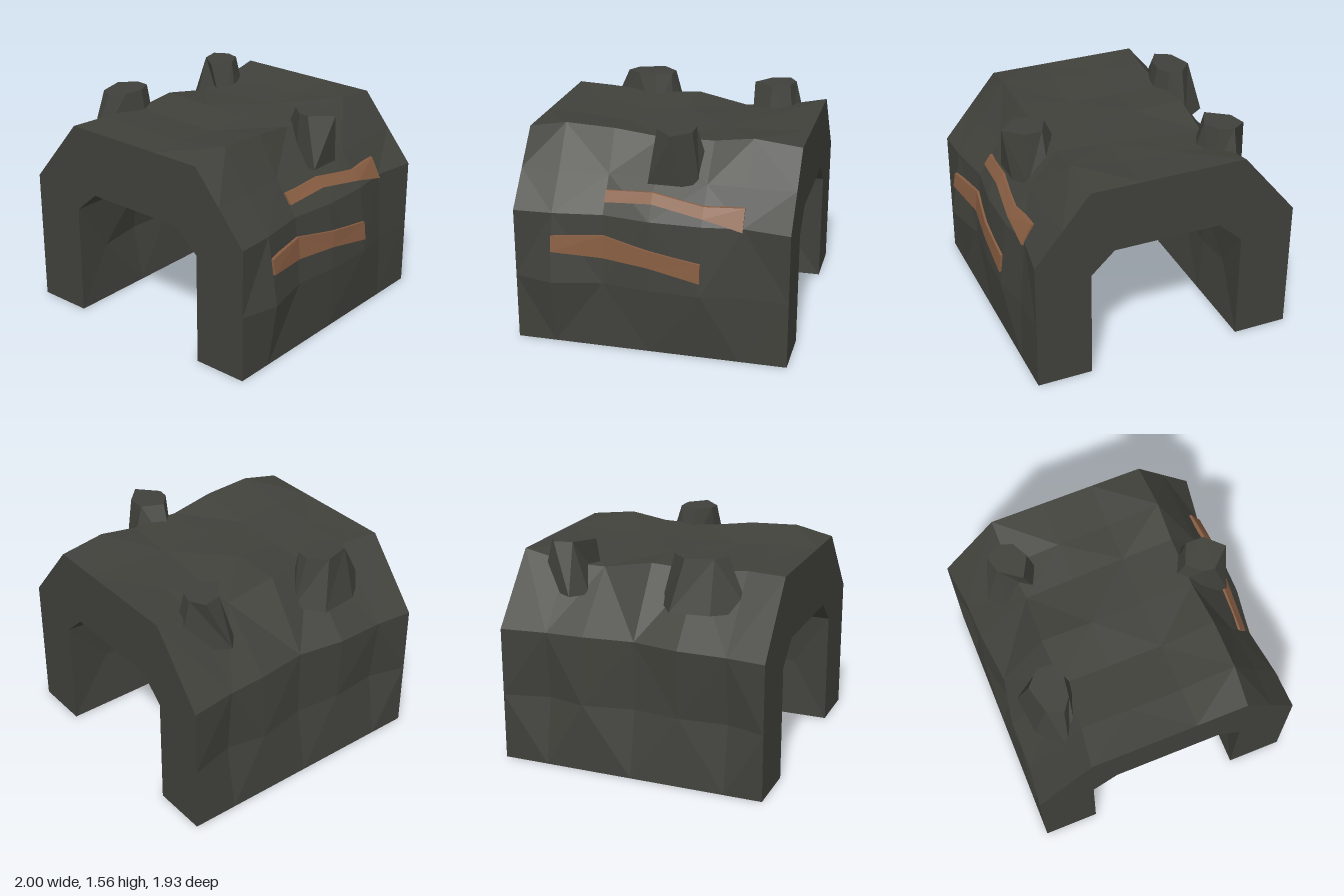
import * as THREE from 'three';

const stone = new THREE.MeshStandardMaterial({ color: 0x40413b, flatShading: true });
stone.name = 'dark stone';
const ore = new THREE.MeshStandardMaterial({ color: 0x865c41, flatShading: true });
ore.name = 'copper ore';

// Joins rings of points into a closed faceted solid. Each ring runs
// counter-clockwise as seen from the side of the first ring.
function loft(rings, project) {
  const pos = [];
  const tri = (a, b, c) => pos.push(...a, ...b, ...c);
  const n = rings[0].length;
  for (let r = 0; r < rings.length - 1; r++) {
    const a = rings[r], b = rings[r + 1];
    for (let i = 0; i < n; i++) {
      const j = (i + 1) % n;
      if ((i + r) % 2) {
        tri(a[i], b[i], b[j]);
        tri(a[i], b[j], a[j]);
      } else {
        tri(a[i], b[i], a[j]);
        tri(b[i], b[j], a[j]);
      }
    }
  }
  // End caps
  const first = rings[0], last = rings[rings.length - 1];
  const faces = ring => THREE.ShapeUtils.triangulateShape(ring.map(p => new THREE.Vector2(...project(p))), []);
  for (const [i, j, k] of faces(first)) tri(first[i], first[j], first[k]);
  for (const [i, j, k] of faces(last)) tri(last[i], last[k], last[j]);
  const g = new THREE.BufferGeometry();
  g.setAttribute('position', new THREE.Float32BufferAttribute(pos, 3));
  g.computeVertexNormals();
  return g;
}

// Tunnel stations from front to back, with the rough outline at each one
const stations = [0.965, 0.69, 0.34, 0.005, -0.36, -0.635, -0.965];
const rough = {
  rightMidX: [0.93, 1.0, 0.92, 0.96, 0.975, 0.92, 0.93],
  rightEaveX: [0.93, 0.92, 0.87, 0.92, 0.92, 0.88, 0.93],
  slopeX: [0.73, 0.74, 0.705, 0.73, 0.745, 0.735, 0.73],
  rightRidgeX: [0.53, 0.55, 0.55, 0.53, 0.53, 0.54, 0.53],
  rightRidgeY: [1.45, 1.505, 1.49, 1.445, 1.45, 1.49, 1.45],
  roofRightY: [1.45, 1.45, 1.42, 1.43, 1.43, 1.43, 1.45],
  roofLeftY: [1.45, 1.44, 1.41, 1.43, 1.4, 1.42, 1.45],
  leftRidgeX: [-0.6, -0.565, -0.57, -0.59, -0.57, -0.6, -0.6],
  leftRidgeY: [1.45, 1.45, 1.42, 1.44, 1.37, 1.38, 1.45],
  leftEaveX: [-1, -0.97, -0.97, -0.91, -0.95, -0.96, -1],
  leftMidX: [-1, -0.92, -0.95, -0.91, -0.98, -0.92, -1],
  ceilingLeft: [0.97, 0.92, 0.93, 0.94, 0.92, 0.94, 0.97],
  ceilingMid: [0.97, 0.91, 0.895, 0.92, 0.9, 0.92, 0.97],
  ceilingRight: [0.97, 0.91, 0.89, 0.92, 0.89, 0.91, 0.97],
  insetLeft: [0, 0.02, 0.08, 0.06, 0.03, 0.05, 0],
  insetRight: [0, 0.04, 0.03, 0.05, 0.03, 0.04, 0],
};

function outline(i) {
  const v = key => rough[key][i];
  return [
    [0.93, 0], [v('rightMidX'), 0.48], [v('rightEaveX'), 0.97], [v('slopeX'), 1.21],
    [v('rightRidgeX'), v('rightRidgeY')], [0.16, v('roofRightY')], [-0.22, v('roofLeftY')],
    [v('leftRidgeX'), v('leftRidgeY')], [v('leftEaveX'), 0.97], [v('leftMidX'), 0.48], [-1, 0],
    [-0.6, 0], [-0.6 - v('insetLeft'), 0.42], [-0.6, 0.81], [-0.42, v('ceilingLeft')],
    [-0.02, v('ceilingMid')], [0.36, v('ceilingRight')],
    [0.53, 0.81], [0.53 + v('insetRight'), 0.42], [0.53, 0],
  ];
}

// X of the right-hand outer surface at a given station and height
function surfaceX(i, y) {
  const p = outline(i).slice(0, 5);
  const k = p.findIndex((q, n) => n < 4 && y <= p[n + 1][1]);
  const t = (y - p[k][1]) / (p[k + 1][1] - p[k][1]);
  return p[k][0] + t * (p[k + 1][0] - p[k][0]);
}

// Ore vein: a thin band following the rock, given as [station, bottom, top]
function vein(sections) {
  const rings = sections.map(([i, lo, hi]) => {
    const z = stations[i], out = 0.018;
    const a = surfaceX(i, lo), b = surfaceX(i, hi);
    return [[a - 0.03, lo, z], [a + out, lo, z], [b + out, hi, z], [b - 0.03, hi, z]];
  });
  return loft(rings, p => [p[0], p[1]]);
}

// Boulder: flat-topped stump with [x, z] corners for its top and its buried foot
function boulder(top, foot) {
  const ring = (pts, y) => pts.map(([x, z]) => [x, y, z]).reverse();
  return loft([ring(top, 1.56), ring(foot, 1.2)], p => [p[0], -p[2]]);
}

export function createModel() {
  const model = new THREE.Group();
  model.name = 'rockTunnel';
  const add = (name, geometry, material) => {
    const mesh = new THREE.Mesh(geometry, material);
    mesh.name = name;
    model.add(mesh);
  };

  const rings = stations.map((z, i) => outline(i).map(([x, y]) => [x, y, z]));
  add('tunnelArch', loft(rings, p => [p[0], p[1]]), stone);

  // Ore veins on the left flank
  add('upperVein', vein([[2, 1.05, 1.12], [3, 1.075, 1.14], [4, 1.02, 1.09], [5, 0.95, 1.095]]), ore);
  add('lowerVein', vein([[1, 0.705, 0.815], [2, 0.67, 0.83], [3, 0.65, 0.77], [4, 0.58, 0.715]]), ore);

  // Boulders along the roof edges
  add('backBoulder', boulder(
    [[-0.63, -0.73], [-0.53, -0.7], [-0.47, -0.58], [-0.55, -0.43], [-0.7, -0.54], [-0.73, -0.67]],
    [[-0.63, -0.82], [-0.46, -0.74], [-0.39, -0.54], [-0.44, -0.43], [-0.71, -0.42], [-0.82, -0.52]]), stone);
  add('frontBoulder', boulder(
    [[-0.7, 0.22], [-0.6, 0.23], [-0.55, 0.34], [-0.57, 0.48], [-0.64, 0.58], [-0.75, 0.52], [-0.8, 0.33]],
    [[-0.69, 0.12], [-0.54, 0.21], [-0.47, 0.34], [-0.61, 0.76], [-0.68, 0.75], [-0.85, 0.53], [-0.88, 0.25]]), stone);
  add('sideBoulder', boulder(
    [[0.59, -0.25], [0.72, -0.25], [0.84, -0.13], [0.7, 0], [0.62, -0.01], [0.52, -0.1]],
    [[0.58, -0.36], [0.72, -0.3], [0.8, -0.2], [0.8, 0.04], [0.62, 0.02], [0.36, -0.13]]), stone);
  return model;
}
